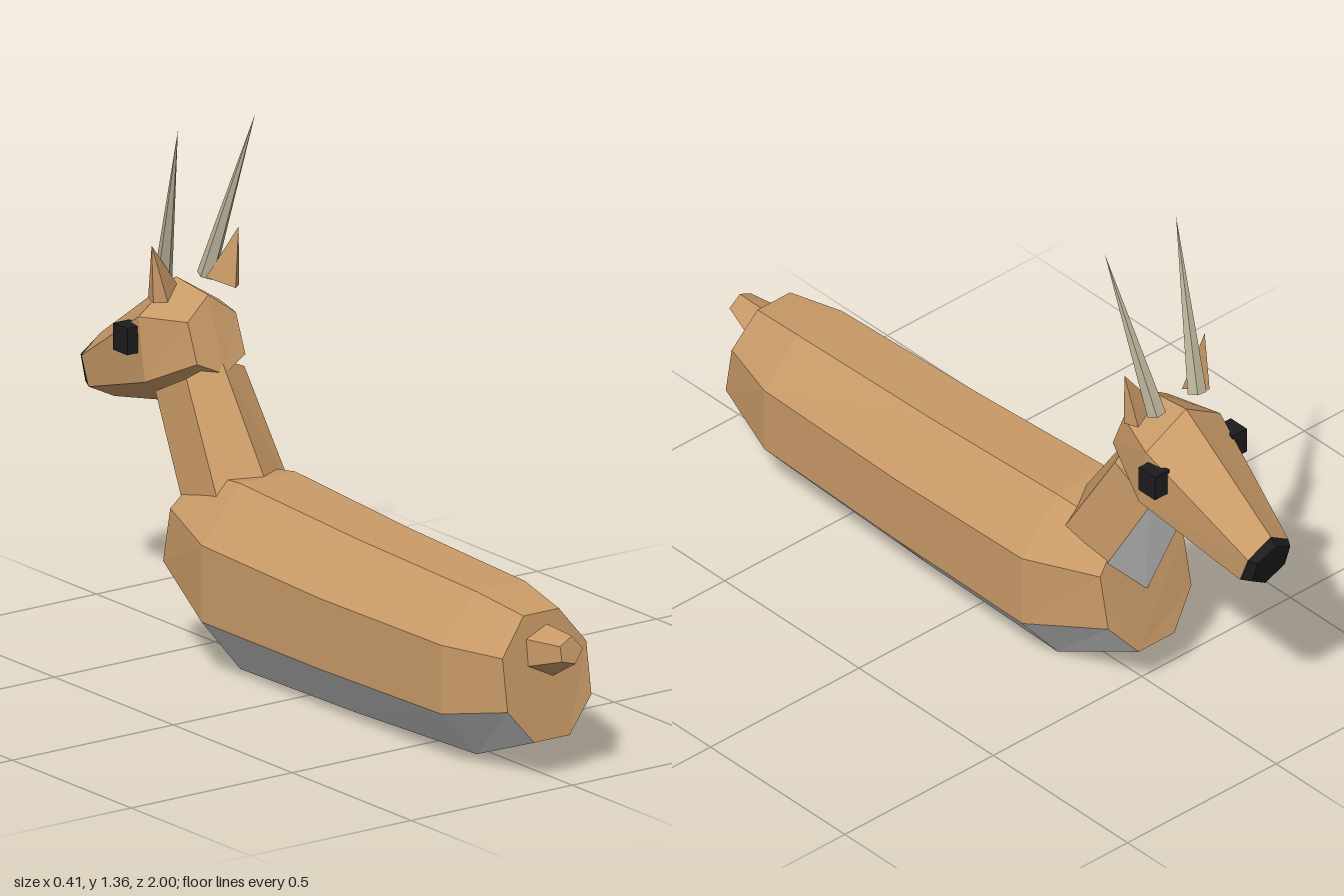
import * as THREE from 'three';
import { ConvexGeometry } from 'three/addons/geometries/ConvexGeometry.js';

const mat = (color) => new THREE.MeshStandardMaterial({ color, flatShading: true });

// Mirror a half section (x >= 0, bottom to top) into a closed ring.
function ring(half) {
  const left = half.filter((p) => p[0] > 0).reverse().map(([x, y, z]) => [-x, y, z]);
  return [...half, ...left];
}

// Skin rings into faceted panels; keep(k) picks the sides to build.
function loft(rings, { keep = () => true, start = false, end = false } = {}) {
  const pos = [];
  const tri = (...pts) => pts.forEach((p) => pos.push(...p));
  for (let i = 0; i < rings.length - 1; i++) {
    const n = rings[i].length;
    for (let k = 0; k < n; k++) {
      if (!keep(k)) continue;
      const a = rings[i][k], b = rings[i][(k + 1) % n];
      const c = rings[i + 1][(k + 1) % n], d = rings[i + 1][k];
      tri(a, d, c);
      tri(a, c, b);
    }
  }
  const first = rings[0], last = rings[rings.length - 1];
  for (let k = 1; k < first.length - 1; k++) {
    if (start) tri(first[0], first[k], first[k + 1]);
    if (end) tri(last[0], last[k + 1], last[k]);
  }
  const g = new THREE.BufferGeometry();
  g.setAttribute('position', new THREE.Float32BufferAttribute(pos, 3));
  g.computeVertexNormals();
  return g;
}

export function createModel() {
  const model = new THREE.Group();
  const coat = mat(0xc99a67), pale = mat(0xcccccc), black = mat(0x1c1c1c), hornMat = mat(0xbdb59c);
  const add = (name, geometry, material) => {
    const mesh = new THREE.Mesh(geometry, material);
    mesh.name = name;
    model.add(mesh);
    return mesh;
  };

  // Octagonal trunk, from rump to chest, with a pale belly
  const trunk = [
    [[0.055, 0.1, 0.915], [0.13, 0.19, 0.905], [0.13, 0.325, 0.883], [0.055, 0.42, 0.87]],
    [[0.075, 0.02, 0.7], [0.185, 0.145, 0.7], [0.185, 0.325, 0.7], [0.075, 0.445, 0.7]],
    [[0.08, 0.005, 0.2], [0.195, 0.14, 0.2], [0.195, 0.325, 0.2], [0.08, 0.46, 0.2]],
    [[0.085, 0, -0.28], [0.205, 0.145, -0.28], [0.205, 0.345, -0.28], [0.085, 0.485, -0.28]],
    [[0.06, 0.135, -0.555], [0.14, 0.23, -0.53], [0.14, 0.375, -0.5], [0.06, 0.46, -0.48]],
  ].map(ring);
  const isBelly = (k) => k === 0 || k === 6 || k === 7;
  add('body', loft(trunk, { keep: (k) => !isBelly(k), start: true, end: true }), coat);
  add('belly', loft(trunk, { keep: isBelly }), pale);

  // Six-sided neck with a pale throat
  const neck = [
    [[0, 0.26, -0.51], [0.115, 0.34, -0.46], [0.115, 0.41, -0.325], [0, 0.46, -0.28]],
    [[0, 0.59, -0.66], [0.09, 0.64, -0.63], [0.09, 0.705, -0.5], [0, 0.745, -0.475]],
  ].map(ring);
  const isThroat = (k) => k === 0 || k === 5;
  add('neck', loft(neck, { keep: (k) => !isThroat(k), start: true, end: true }), coat);
  add('throat', loft(neck, { keep: isThroat }), pale);

  // Head tapering to the muzzle, and the nose on its end
  const muzzle = [[0, 0.537, -0.925], [0.068, 0.57, -0.94], [0.068, 0.645, -0.97], [0, 0.69, -0.98]];
  const head = [
    [[0, 0.71, -0.46], [0.075, 0.745, -0.475], [0.075, 0.845, -0.515], [0, 0.9, -0.53]],
    [[0, 0.6, -0.61], [0.125, 0.67, -0.627], [0.125, 0.835, -0.654], [0, 0.915, -0.665]],
    muzzle,
  ].map(ring);
  add('head', loft(head, { start: true }), coat);
  const noseTip = [[0, 0.537, -0.96], [0.055, 0.575, -0.972], [0.055, 0.64, -0.992], [0, 0.67, -1]];
  add('nose', loft([muzzle, noseTip].map(ring), { end: true }), black);

  for (const [side, s] of [['left', 1], ['right', -1]]) {
    // Eyes
    add(side + 'Eye', new THREE.BoxGeometry(0.05, 0.07, 0.06), black).position.set(s * 0.13, 0.773, -0.69);

    // Pointed ears
    const ear = [
      [0.135, 1.04, -0.585], [0.045, 0.92, -0.6], [0.105, 0.892, -0.557],
      [0.133, 0.89, -0.58], [0.12, 0.892, -0.62],
    ].map(([x, y, z]) => new THREE.Vector3(s * x, y, z));
    add(side + 'Ear', new ConvexGeometry(ear), coat);

    // Long straight horns swept back
    const base = new THREE.Vector3(s * 0.068, 0.915, -0.63);
    const tip = new THREE.Vector3(s * 0.12, 1.36, -0.495);
    const axis = tip.clone().sub(base);
    const horn = add(side + 'Horn', new THREE.ConeGeometry(0.025, axis.length(), 5), hornMat);
    horn.position.copy(base).lerp(tip, 0.5);
    horn.quaternion.setFromUnitVectors(new THREE.Vector3(0, 1, 0), axis.normalize());
  }

  // Stubby five-sided tail, tip to root
  const tail = [
    [[-0.03, 0.365, 0.99], [-0.03, 0.327, 0.998], [0.01, 0.315, 1], [0.038, 0.35, 0.993], [0.01, 0.385, 0.985]],
    [[-0.055, 0.36, 0.865], [-0.055, 0.29, 0.88], [0.02, 0.255, 0.89], [0.068, 0.325, 0.875], [0.015, 0.388, 0.86]],
  ];
  add('tail', loft(tail, { start: true, end: true }), coat);

  return model;
}
